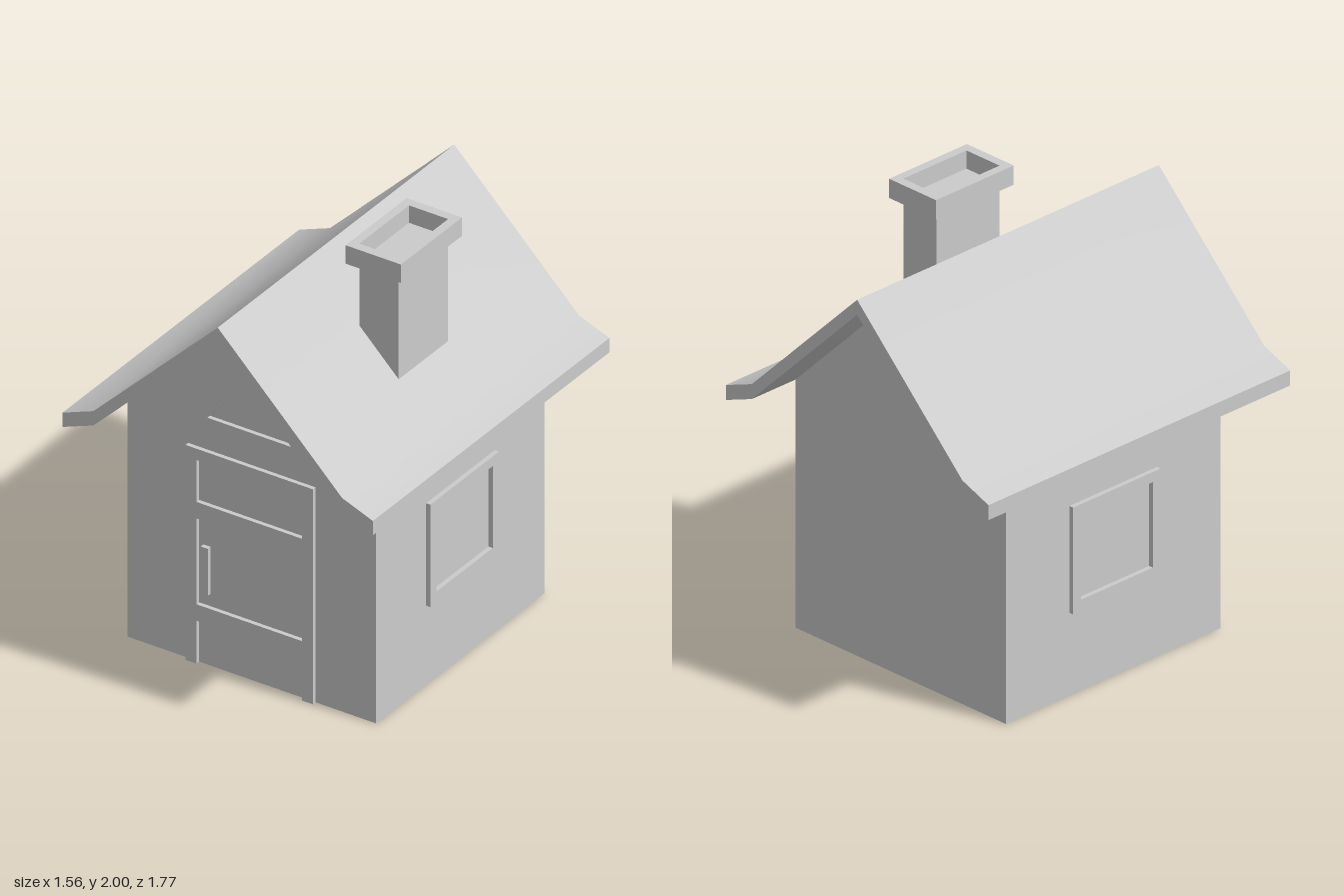
import * as THREE from 'three';
import { toCreasedNormals } from 'three/addons/utils/BufferGeometryUtils.js';

const material = new THREE.MeshStandardMaterial({ color: 0xcccccc });

const toPoints = (pts) => pts.map(([x, y]) => new THREE.Vector2(x, y));
const rect = (x0, y0, x1, y1) => [[x0, y0], [x1, y0], [x1, y1], [x0, y1]];

// Extrudes an outline with optional holes from z = 0 to z = depth
function slab(outline, depth, holes = []) {
  const shape = new THREE.Shape(toPoints(outline));
  for (const hole of holes) shape.holes.push(new THREE.Path(toPoints(hole)));
  return new THREE.ExtrudeGeometry(shape, { depth, bevelEnabled: false });
}

export function createModel() {
  const group = new THREE.Group();
  const add = (name, geometry) => {
    const mesh = new THREE.Mesh(geometry, material);
    mesh.name = name;
    group.add(mesh);
    return mesh;
  };

  // Solid walls with gables, the top tucked just inside the roof
  const wallOutline = [[-0.625, 0], [0.625, 0], [0.625, 1.18], [0, 1.8], [-0.625, 1.18]];
  add('walls', slab(wallOutline, 1.26)).position.z = -0.63;

  // Roof with flared eaves, softly shaded across the bend
  const roofOutline = [
    [-0.78, 1.1], [-0.625, 1.16], [0, 1.78], [0.625, 1.16], [0.78, 1.1],
    [0.78, 1.17], [0.625, 1.23], [0, 1.85], [-0.625, 1.23], [-0.78, 1.17],
  ];
  add('roof', toCreasedNormals(slab(roofOutline, 1.77), 0.5)).position.z = -0.885;

  // Door frame, open at the foot, with two recessed panels above
  const doorOutline = [
    [-0.32, 0], [-0.265, 0], [-0.265, 0.21], [0.265, 0.21], [0.265, 0],
    [0.32, 0], [0.32, 1.05], [-0.32, 1.05],
  ];
  const doorHoles = [rect(-0.265, 0.29, 0.265, 0.71), rect(-0.265, 0.79, 0.265, 0.995)];
  add('doorFrame', slab(doorOutline, 0.03, doorHoles)).position.z = 0.62;
  add('doorHandle', slab(rect(-0.243, 0.35, -0.208, 0.58), 0.03)).position.z = 0.62;

  // Triangular gable window
  const gable = [[-0.32, 1.165], [0.32, 1.165], [0, 1.545]];
  const gableHole = [[-0.21, 1.22], [0.21, 1.22], [0, 1.465]];
  add('gableWindowFrame', slab(gable, 0.03, [gableHole])).position.z = 0.62;

  // Square window frames on both side walls
  for (const side of [1, -1]) {
    const frame = slab(rect(-0.257, 0.387, 0.257, 0.887), 0.03, [rect(-0.21, 0.44, 0.21, 0.84)]);
    const mesh = add(side > 0 ? 'leftWindowFrame' : 'rightWindowFrame', frame);
    mesh.rotation.y = side * Math.PI / 2;
    mesh.position.x = side * 0.617;
  }

  // Chimney shaft and its hollow cap
  const shaft = add('chimneyShaft', new THREE.BoxGeometry(0.197, 0.515, 0.37));
  shaft.position.set(0.351, 1.6575, 0.015);
  const cap = slab(rect(-0.139, -0.228, 0.139, 0.228), 0.09, [rect(-0.0985, -0.185, 0.0985, 0.185)]);
  cap.rotateX(-Math.PI / 2);
  add('chimneyCap', cap).position.set(0.351, 1.91, 0.015);

  return group;
}
